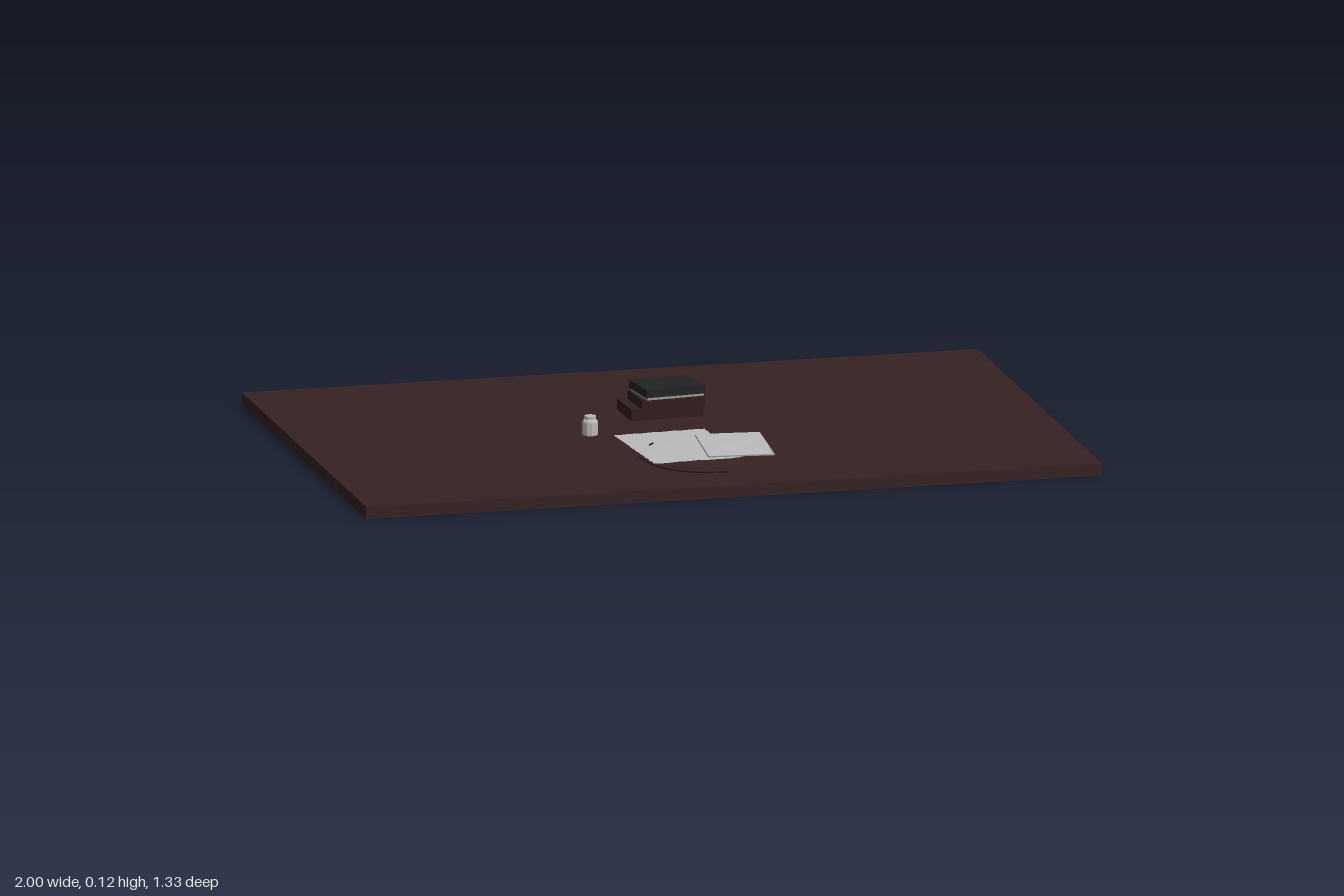
import * as THREE from 'three';

const mat = (name, color) => {
  const m = new THREE.MeshStandardMaterial({ color });
  m.name = name;
  return m;
};

export function createModel() {
  const wood = mat('dark wood', 0x362323);
  const maroon = mat('maroon cover', 0x331e1f);
  const charcoal = mat('charcoal cover', 0x222423);
  const pages = mat('book pages', 0x9a9a94);
  const paper = mat('paper', 0xbcbcbc);
  paper.side = THREE.DoubleSide;
  const glass = mat('pale glass', 0xb9b9b4);
  const ink = mat('black ink', 0x141214);
  const TOP = 0.033;
  const model = new THREE.Group();
  model.name = 'writingDesk';

  const add = (parent, name, geometry, material, x = 0, y = 0, z = 0) => {
    const mesh = new THREE.Mesh(geometry, material);
    mesh.name = name;
    mesh.position.set(x, y, z);
    parent.add(mesh);
    return mesh;
  };

  // Table slab
  add(model, 'tableTop', new THREE.BoxGeometry(2, TOP, 1.332), wood, 0, TOP / 2, 0);

  // A closed book: two covers, a spine on the left and a recessed page block
  const addBook = (name, w, h, d, cover, x, y, z, turn) => {
    const book = new THREE.Group();
    book.name = name;
    const t = 0.004;
    for (const [part, cy] of [['lowerCover', t / 2], ['upperCover', h - t / 2]])
      add(book, part, new THREE.BoxGeometry(w, t, d), cover, 0, cy, 0);
    add(book, 'spine', new THREE.BoxGeometry(t, h - 2 * t, d), cover, -w / 2 + t / 2, h / 2, 0);
    for (const s of [-1, 1])
      add(book, 'edgeBand', new THREE.BoxGeometry(w - t, h - 2 * t, t), cover, t / 2, h / 2, s * (d / 2 - t));
    add(book, 'foreEdge', new THREE.BoxGeometry(t, h - 2 * t, d - 2 * t), cover, w / 2 - t, h / 2, 0);
    book.position.set(x, y, z);
    book.rotation.y = turn;
    model.add(book);
  };
  addBook('bottomBook', 0.198, 0.03, 0.138, maroon, 0.012, TOP, -0.171, 0.03);
  addBook('middleBook', 0.176, 0.024, 0.128, maroon, 0.028, TOP + 0.03, -0.168, 0.07);
  add(model, 'loosePages', new THREE.BoxGeometry(0.16, 0.007, 0.124), pages, 0.03, 0.0905, -0.167).rotation.y = 0.11;
  addBook('topBook', 0.168, 0.022, 0.13, charcoal, 0.03, 0.094, -0.167, 0.11);

  // Sheet stretched between four corners, with a slight ripple and worn edges
  const addSheet = (name, [a, b, c, d], height, ripple) => {
    const geo = new THREE.PlaneGeometry(1, 1, 14, 18);
    const pos = geo.attributes.position;
    for (let i = 0; i < pos.count; i++) {
      const u = pos.getX(i) + 0.5, v = 0.5 - pos.getY(i);
      const mix = k => (a[k] * (1 - u) + b[k] * u) * (1 - v) + (d[k] * (1 - u) + c[k] * u) * v;
      const onSide = u < 0.01 || u > 0.99, onEnd = v < 0.01 || v > 0.99;
      const wearX = onSide ? 0.002 * Math.sin(i * 2.3) : 0;
      const wearZ = onEnd ? 0.002 * Math.sin(i * 1.9) : 0;
      const y = height(u, v) + ripple * Math.sin(u * 9 + v * 4) * Math.sin(v * 8);
      pos.setXYZ(i, mix(0) + wearX, y, mix(1) + wearZ);
    }
    geo.computeVertexNormals();
    add(model, name, geo, paper);
  };
  addSheet('largeSheet', [[-0.173, 0.055], [0.077, 0.04], [0.092, 0.39], [-0.15, 0.404]],
    (u, v) => 0.036 + 0.003 * v, 0.0006);
  addSheet('smallSheet', [[0.028, 0.14], [0.198, 0.156], [0.176, 0.404], [0.002, 0.386]],
    (u, v) => 0.047 - 0.003 * v * v, 0.0006);

  // Thin shaded border of the small sheet
  const rim = [[0.028, 0.14], [0.198, 0.156], [0.176, 0.404], [0.002, 0.386]];
  rim.forEach(([x, z], i) => {
    const [x2, z2] = rim[(i + 1) % 4];
    const edge = add(model, 'sheetEdge', new THREE.BoxGeometry(Math.hypot(x2 - x, z2 - z), 0.003, 0.003),
      pages, (x + x2) / 2, 0.0445, (z + z2) / 2);
    edge.rotation.y = -Math.atan2(z2 - z, x2 - x);
  });

  // Ink bottle with a narrow neck and a lid
  const profile = [[0, 0], [0.02, 0], [0.021, 0.003], [0.021, 0.036], [0.018, 0.041], [0.014, 0.043],
    [0.014, 0.046], [0.016, 0.046], [0.016, 0.052], [0, 0.052]].map(p => new THREE.Vector2(...p));
  const bottle = new THREE.LatheGeometry(profile, 10).toNonIndexed();
  bottle.computeVertexNormals();
  add(model, 'inkBottle', bottle, glass, -0.228, TOP, 0.022);

  // Curved quill lying beside the sheets
  const curve = new THREE.CatmullRomCurve3([[-0.166, 0.3], [-0.162, 0.36], [-0.145, 0.425], [-0.105, 0.48],
    [-0.05, 0.512], [0.018, 0.522]].map(([x, z]) => new THREE.Vector3(x, 0.036, z)));
  add(model, 'quill', new THREE.TubeGeometry(curve, 30, 0.0028, 6), maroon);

  // Short ink stroke on the large sheet
  const stroke = new THREE.CatmullRomCurve3([[-0.113, 0.203], [-0.107, 0.188], [-0.096, 0.175]]
    .map(([x, z]) => new THREE.Vector3(x, 0.038, z)));
  add(model, 'inkStroke', new THREE.TubeGeometry(stroke, 8, 0.0025, 6), ink);

  return model;
}
